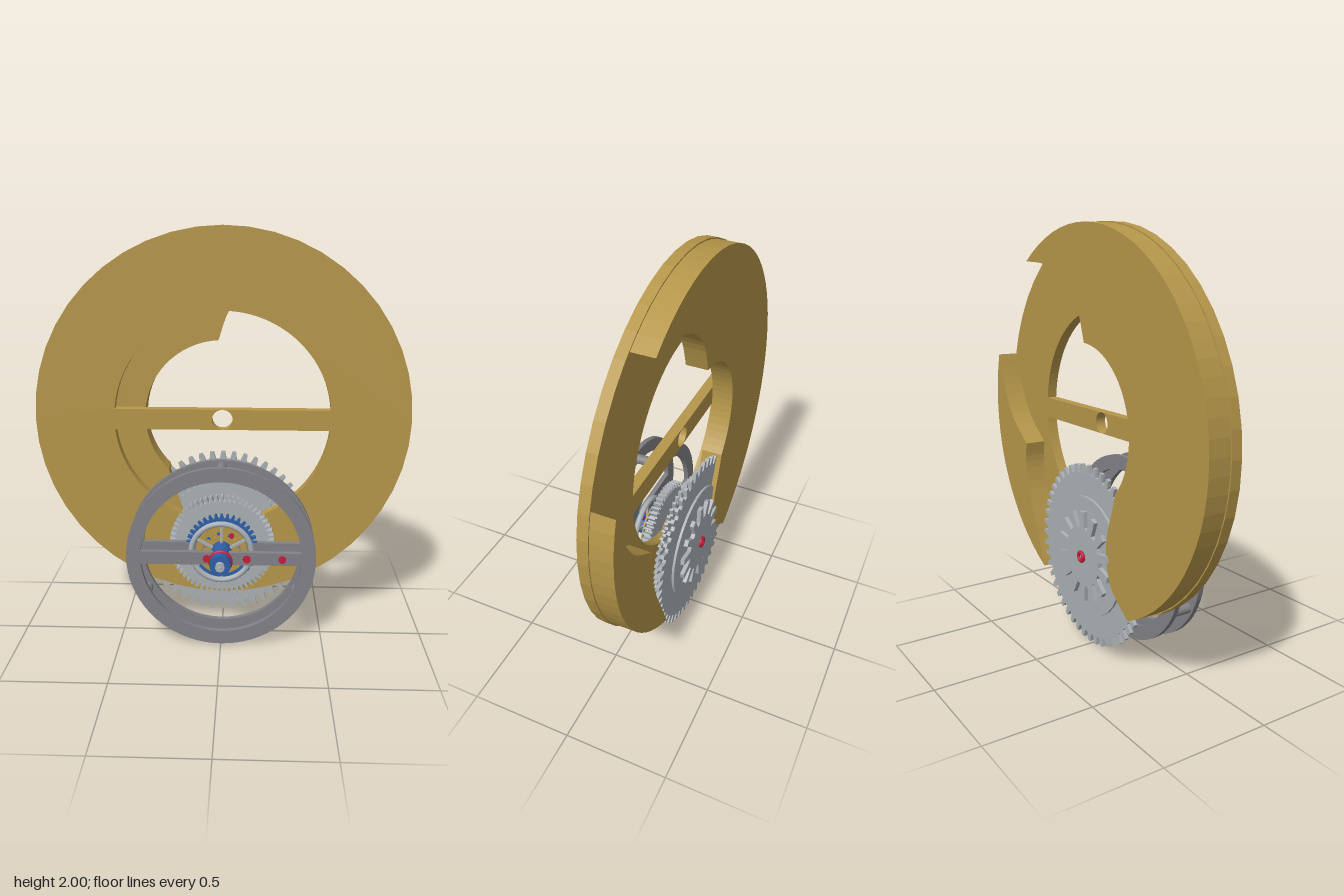
import * as THREE from 'three';

const mat = (name, color) => Object.assign(new THREE.MeshStandardMaterial({ color }), { name });

export function createModel() {
  const gold = mat('gold', 0xb5964a), silver = mat('silver', 0xaab0b4), steel = mat('dark steel', 0x828287);
  const blue = mat('blue', 0x2f5fa8), red = mat('red', 0xc41e3a);
  const model = new THREE.Group();
  const CY = 0.457, PLATE_Y = 1.09; // gear axis height, base plate centre height

  const add = (name, geo, material, x = 0, y = CY, z = 0, parent = model) => {
    const mesh = new THREE.Mesh(geo, material);
    mesh.name = name;
    mesh.position.set(x, y, z);
    parent.add(mesh);
    return mesh;
  };
  const extrude = (shape, depth, curveSegments = 24) =>
    new THREE.ExtrudeGeometry(shape, { depth, bevelEnabled: false, curveSegments });
  const circle = (r, x = 0, y = 0, Type = THREE.Path) => new Type().absarc(x, y, r, 0, Math.PI * 2, false);
  // Cylinder along z from z0 to z1
  const rod = (name, r, z0, z1, material, x = 0, y = CY) =>
    add(name, new THREE.CylinderGeometry(r, r, z1 - z0, 28).rotateX(Math.PI / 2), material, x, y, (z0 + z1) / 2);
  // Toothed wheel with optional bore
  const gear = (name, teeth, root, tip, bore, z0, z1, material) => {
    const pts = [];
    for (let i = 0; i < teeth; i++) {
      for (const [f, r] of [[-0.32, root], [-0.16, tip], [0.16, tip], [0.32, root]]) {
        const a = ((i + f) / teeth) * Math.PI * 2 + Math.PI / 2;
        pts.push(new THREE.Vector2(r * Math.cos(a), r * Math.sin(a)));
      }
    }
    const shape = new THREE.Shape(pts);
    if (bore) shape.holes.push(circle(bore));
    return add(name, extrude(shape, z1 - z0), material, 0, CY, z0);
  };
  const arc = (r, a0, a1, n) => Array.from({ length: n + 1 }, (_, i) => {
    const a = a0 + ((a1 - a0) * i) / n;
    return new THREE.Vector2(r * Math.cos(a), r * Math.sin(a));
  });
  const spline = (...p) => new THREE.SplineCurve(p.map(([x, y]) => new THREE.Vector2(x, y - PLATE_Y))).getPoints(16);
  const angle = (x, y) => Math.atan2(y - PLATE_Y, x);

  // Front base plate: ring with a pierced crossbar
  const front = circle(0.91, 0, 0, THREE.Shape);
  const half = Math.asin(0.05 / 0.525);
  front.holes.push(
    new THREE.Path().absarc(0, 0, 0.525, half, Math.PI - half, false).closePath(),
    new THREE.Path().absarc(0, 0, 0.525, Math.PI + half, Math.PI * 2 - half, false).closePath(),
    circle(0.05));
  add('basePlate', extrude(front, 0.05, 24), gold, 0, PLATE_Y, -0.13);

  // Rear large arm: rim from upper right round the far side to the gear pocket
  const R = 0.903, TAU = Math.PI * 2;
  const large = new THREE.Shape([
    ...arc(R, angle(0.52, 1.83), angle(-0.37, 0.27) + TAU, 40),
    ...spline([-0.37, 0.267], [-0.24, 0.37], [-0.2, 0.48], [-0.2, 0.6], [-0.25, 0.75], [-0.27, 0.82]).slice(1),
    ...arc(0.38, angle(-0.27, 0.82) + TAU, angle(-0.02, 1.47), 24),
    ...spline([-0.02, 1.47], [0.035, 1.62], [0.14, 1.73], [0.32, 1.81], [0.52, 1.828]).slice(1, -1),
  ]);
  add('rearLargeArm', extrude(large, 0.105), gold, 0, PLATE_Y, -0.235);

  // Rear small arm: hooked blade on the other side of the pocket
  const small = new THREE.Shape([
    ...arc(R, angle(0.4, 0.28), angle(0.87, 1.34), 18),
    ...spline([0.868, 1.34], [0.81, 1.17], [0.72, 1.02], [0.57, 0.9]).slice(1),
    ...spline([0.57, 0.9], [0.58, 0.8], [0.55, 0.66], [0.48, 0.48], [0.4, 0.281]).slice(1, -1),
  ]);
  add('rearSmallArm', extrude(small, 0.105), gold, 0, PLATE_Y, -0.235);

  // Cage: two barred rings joined by three pillars
  const barAngle = Math.asin(0.032 / 0.388);
  for (const [name, z] of [['cageBackRing', -0.012], ['cageFrontRing', 0.108]]) {
    const ring = circle(0.457, 0, 0, THREE.Shape);
    ring.holes.push(
      new THREE.Path().absarc(0, 0, 0.388, barAngle, Math.PI - barAngle, false).closePath(),
      new THREE.Path().absarc(0, 0, 0.388, Math.PI + barAngle, TAU - barAngle, false).closePath());
    add(name, extrude(ring, 0.025, 36), steel, 0, CY, z);
  }
  for (let i = 0; i < 3; i++) {
    const a = Math.PI / 2 + (i * TAU) / 3;
    rod('cagePillar', 0.024, 0.012, 0.11, steel, 0.425 * Math.cos(a), CY + 0.425 * Math.sin(a));
  }

  // Gear train behind the cage
  gear('fixedGear', 60, 0.235, 0.262, 0.1, -0.06, -0.02, silver);
  rod('gearHub', 0.09, -0.13, -0.055, gold);
  gear('middleGear', 56, 0.3, 0.33, 0.04, -0.15, -0.132, silver);
  rod('spacerDisc', 0.3, -0.182, -0.168, silver);
  gear('largeGear', 48, 0.4, 0.44, 0.03, -0.21, -0.192, silver);
  rod('backDisc', 0.29, -0.222, -0.209, silver);
  gear('rearPinion', 14, 0.145, 0.222, 0.02, -0.245, -0.225, silver);
  rod('axle', 0.02, -0.25, 0.1, silver);
  add('rearJewel', new THREE.TorusGeometry(0.02, 0.01, 8, 20), red, 0, CY, -0.25);

  // Escape wheel and hairspring disc
  gear('escapeWheel', 36, 0.155, 0.178, 0.11, -0.01, 0.01, blue);
  for (let i = 0; i < 4; i++) {
    const spoke = add('escapeSpoke', new THREE.BoxGeometry(0.26, 0.016, 0.012), blue);
    spoke.rotation.z = (i * Math.PI) / 4 + 0.2;
  }
  const spring = circle(0.125, 0, 0, THREE.Shape);
  spring.holes.push(circle(0.095));
  add('springRing', extrude(spring, 0.008), gold, 0, CY, 0.025);
  gear('springWheel', 20, 0.075, 0.09, 0.02, 0.025, 0.033, gold);

  // Balance wheel with spokes and rim screws
  add('balanceRim', new THREE.TorusGeometry(0.147, 0.014, 10, 48), silver, 0, CY, 0.055);
  for (const a of [Math.PI / 2, Math.PI / 6, -Math.PI / 6]) {
    const spoke = add('balanceSpoke', new THREE.BoxGeometry(0.28, 0.012, 0.012), silver, 0, CY, 0.055);
    spoke.rotation.z = a;
  }
  for (const [x, y] of [[0.05, 0.545], [0.03, 0.375]]) rod('balanceScrew', 0.011, 0.05, 0.07, red, x, y);

  // Front arbor and jewels
  rod('blueArbor', 0.05, 0.035, 0.215, blue);
  add('arborRing', new THREE.TorusGeometry(0.05, 0.009, 8, 32), red, 0, CY, 0.165);
  rod('arborCap', 0.022, 0.21, 0.237, silver);
  rod('arborPin', 0.01, 0.23, 0.257, silver);
  for (const x of [-0.067, 0.125, 0.295]) rod('cageJewel', 0.019, 0.128, 0.139, red, x);

  return model;
}
